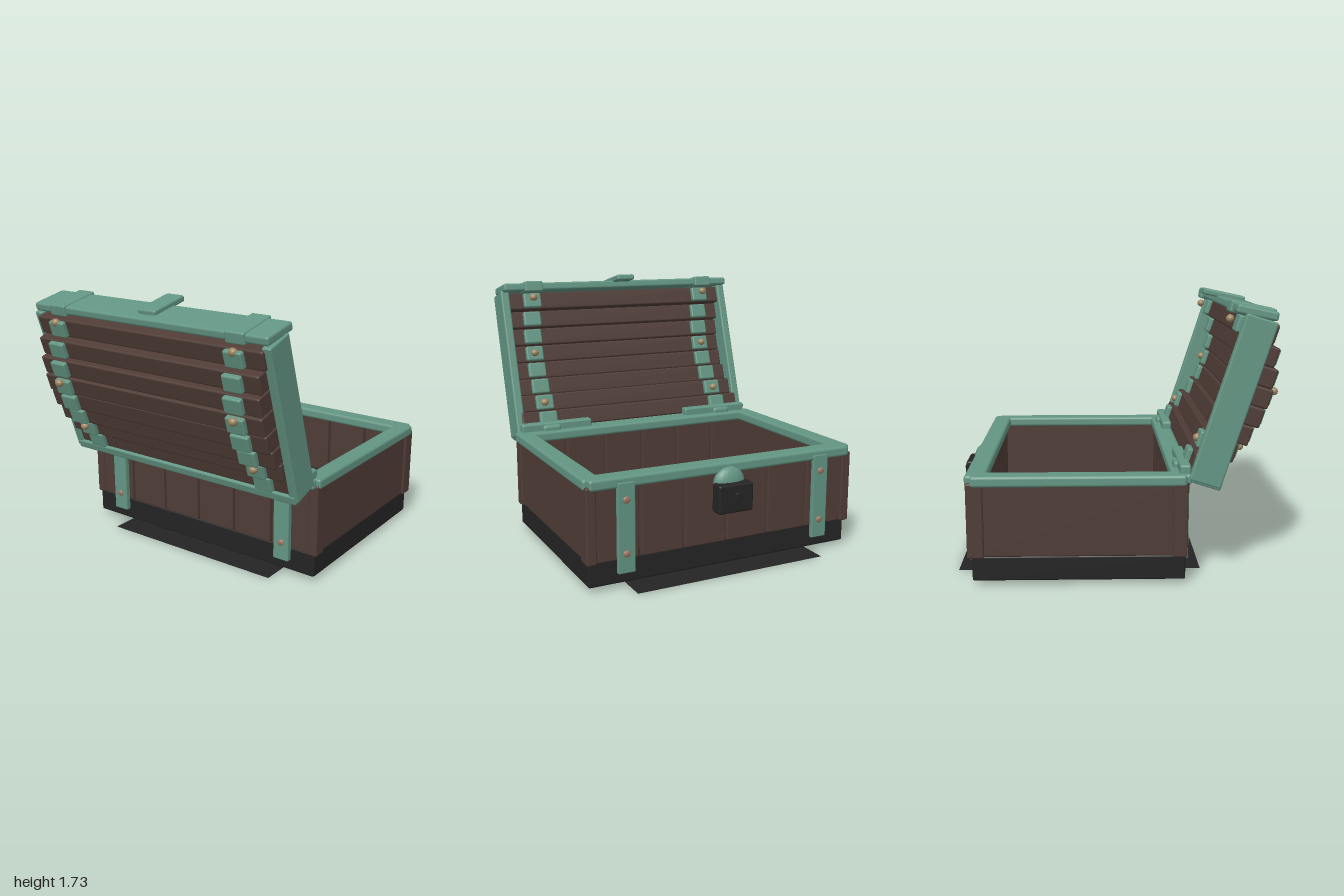
import * as THREE from 'three';
import { RoundedBoxGeometry } from 'three/addons/geometries/RoundedBoxGeometry.js';

const mat = (name, color) => {
  const m = new THREE.MeshStandardMaterial({ color });
  m.name = name;
  return m;
};

export function createModel() {
  const green = mat('patina green', 0x639583);
  const brown = mat('dark wood', 0x4f3c36);
  const black = mat('black iron', 0x242424);
  const blue = mat('pool blue', 0x5ba5b1);
  const brass = mat('brass', 0x9c8560);
  const copper = mat('copper', 0x9c7560);
  black.side = THREE.DoubleSide;

  const root = new THREE.Group();
  root.name = 'chest';
  const body = new THREE.Group();
  body.name = 'body';
  const lid = new THREE.Group();
  lid.name = 'lid';
  root.add(body, lid);

  // Rounded block given by its extents
  const block = (parent, name, m, [x0, x1], [y0, y1], [z0, z1], r = 0.012) => {
    const w = x1 - x0, h = y1 - y0, d = z1 - z0;
    const g = new RoundedBoxGeometry(w, h, d, 2, Math.min(r, Math.min(w, h, d) * 0.45));
    const mesh = new THREE.Mesh(g, m);
    mesh.name = name;
    mesh.position.set((x0 + x1) / 2, (y0 + y1) / 2, (z0 + z1) / 2);
    parent.add(mesh);
    return mesh;
  };
  const ball = (parent, name, m, [x, y, z], [sx, sy, sz]) => {
    const mesh = new THREE.Mesh(new THREE.SphereGeometry(1, 20, 14), m);
    mesh.name = name;
    mesh.position.set(x, y, z);
    mesh.scale.set(sx, sy, sz);
    parent.add(mesh);
  };
  // z range on one side of the chest
  const zs = (s, a, b) => (s > 0 ? [a, b] : [-b, -a]);

  // Base, floor, and the flat sheet underneath
  block(body, 'base', black, [-0.43, 0.85], [0.03, 0.185], [-0.9, 0.9]);
  block(body, 'floor', black, [-0.4, 0.83], [0.17, 0.215], [-0.86, 0.86], 0.004);
  const sheet = new THREE.Mesh(new THREE.PlaneGeometry(1.52, 1.29).rotateX(-Math.PI / 2), black);
  sheet.name = 'groundSheet';
  sheet.position.set(0.21, 0, 0);
  body.add(sheet);
  const pool = new THREE.Mesh(new THREE.CircleGeometry(1, 40).rotateX(-Math.PI / 2), blue);
  pool.name = 'pool';
  pool.scale.set(0.227, 1, 0.402);
  pool.position.set(0.213, 0.221, 0);
  body.add(pool);

  // Front and back planks with narrow gaps
  for (let i = 0; i < 6; i++) {
    const z0 = -0.87 + i * 0.29 + 0.008, z1 = z0 + 0.274;
    block(body, 'frontPlank', brown, [0.79, 0.865], [0.18, 0.64], [z0, z1], 0.008);
    block(body, 'backPlank', brown, [-0.43, -0.36], [0.18, 0.64], [z0, z1], 0.008);
  }

  for (const s of [-1, 1]) {
    // Side walls, corner posts, side rims
    block(body, 'sideWall', brown, [-0.41, 0.84], [0.18, 0.64], zs(s, 0.82, 0.905));
    block(body, 'frontPost', brown, [0.775, 0.877], [0.175, 0.64], zs(s, 0.855, 0.92));
    block(body, 'backPost', brown, [-0.44, -0.35], [0.175, 0.64], zs(s, 0.855, 0.92));
    block(body, 'sideRim', green, [-0.43, 0.85], [0.615, 0.683], zs(s, 0.81, 0.928), 0.018);
    // Vertical straps with flat rivets
    for (const [x0, x1, out] of [[0.86, 0.89, 0.89], [-0.465, -0.425, -0.465]]) {
      block(body, 'strap', green, [x0, x1], [0.1, 0.65], zs(s, 0.62, 0.732), 0.008);
      for (const y of [0.22, 0.545]) {
        ball(body, 'strapRivet', copper, [out, y, s * 0.677], [0.01, 0.021, 0.023]);
      }
    }
    // Hinge pieces
    block(body, 'hingeBar', green, [-0.457, -0.39], [0.66, 0.735], zs(s, 0.375, 0.885), 0.015);
    block(body, 'hingeKnuckle', green, [-0.46, -0.365], [0.65, 0.72], zs(s, 0.61, 0.74), 0.02);
  }
  block(body, 'frontRim', green, [0.76, 0.885], [0.615, 0.683], [-0.9, 0.9], 0.018);
  block(body, 'backRim', green, [-0.46, -0.34], [0.615, 0.683], [-0.9, 0.9], 0.018);

  // Lock, keyhole and domed hasp
  block(body, 'lock', black, [0.89, 0.98], [0.393, 0.57], [-0.118, 0.118], 0.012);
  block(body, 'keyhole', black, [0.97, 1.0], [0.465, 0.52], [-0.018, 0.018], 0.005);
  ball(body, 'hasp', green, [0.885, 0.558, 0], [0.052, 0.1, 0.105]);

  // Open lid: local y runs from hinge to free edge, local -x is outward
  lid.position.set(-0.447, 0.658, 0);
  lid.rotation.z = 0.309;
  const arch = (y) => -0.217 + 0.1 * Math.min(((y - 0.57) / 0.38) ** 2, 1.3);
  for (let i = 0; i < 8; i++) {
    const y = 0.09 + i * 0.122, c = arch(y);
    const end = i === 0 || i === 7 ? 0.86 : 0.845;
    block(lid, 'lidPlank', brown, [c - 0.095, c + 0.095], [y - 0.06, y + 0.06], [-end, end]);
    for (const s of [-1, 1]) {
      block(lid, 'lidStrap', green, [c - 0.127, c + 0.125], [y - 0.052, y + 0.052], zs(s, 0.612, 0.738));
    }
  }
  for (const s of [-1, 1]) {
    block(lid, 'lidSide', green, [-0.195, 0], [-0.01, 1.02], zs(s, 0.84, 0.9));
    // Round rivets, outside then inside
    for (const [x, y] of [[-0.232, 0.99], [-0.352, 0.62], [-0.265, 0.235],
      [0.045, 0.955], [-0.085, 0.58], [0.0, 0.21]]) {
      ball(lid, 'lidRivet', brass, [x, y, s * 0.68], [0.025, 0.025, 0.028]);
    }
  }
  block(lid, 'lidBackBar', green, [-0.2, 0], [-0.025, 0.035], [-0.885, 0.885]);

  // Free edge of the lid: bar, strap wraps and latch tongue
  const edge = new THREE.Group();
  edge.name = 'lidFrontEdge';
  edge.position.set(-0.825, 1.633, 0);
  edge.rotation.z = 0.21;
  root.add(edge);
  block(edge, 'lidFrontBar', green, [-0.122, 0.125], [-0.03, 0.024], [-0.888, 0.888], 0.015);
  for (const s of [-1, 1]) {
    block(edge, 'edgeStrap', green, [-0.135, 0.142], [-0.04, 0.034], zs(s, 0.61, 0.742));
  }
  block(edge, 'latch', green, [-0.06, 0.22], [0.012, 0.052], [-0.067, 0.067]);

  return root;
}
